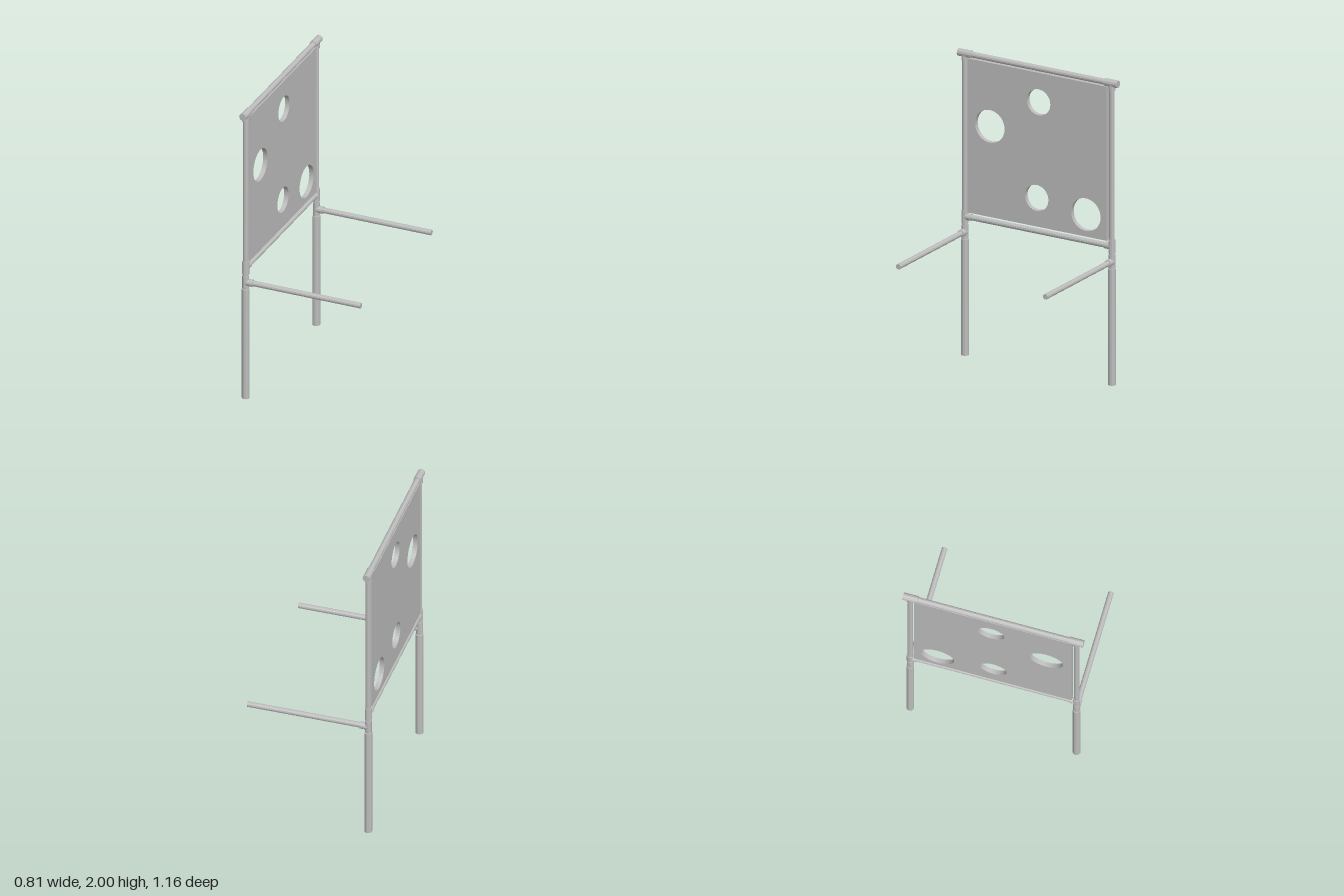
import * as THREE from 'three';

export function createModel() {
  const model = new THREE.Group();
  const grey = new THREE.MeshStandardMaterial({ color: 0xbcbcbc, flatShading: true });
  grey.name = 'grey';
  const X = -0.379, Z = 0.535;          // plane of the frame, half spacing of the posts
  const ARM_Y = 0.807, RAIL_Y = 0.907, TOP_Y = 1.976;

  // Straight faceted pipe between two points
  function pipe(name, a, b, radius) {
    const from = new THREE.Vector3(...a), to = new THREE.Vector3(...b);
    const dir = to.clone().sub(from);
    const mesh = new THREE.Mesh(new THREE.CylinderGeometry(radius, radius, dir.length(), 12), grey);
    mesh.position.copy(from).add(to).multiplyScalar(0.5);
    mesh.quaternion.setFromUnitVectors(new THREE.Vector3(0, 1, 0), dir.normalize());
    mesh.name = name;
    model.add(mesh);
  }

  for (const s of [1, -1]) {
    const z = s * Z;
    const upright = (name, y0, y1, r) => pipe(name, [X, y0, z], [X, y1, z], r);
    // Post: thick leg below, thin pipe above
    upright('leg', 0, 0.76, 0.025);
    upright('upperPost', 0.74, TOP_Y, 0.0175);
    // Tee that holds the arm
    upright('armTee', 0.765, 0.853, 0.022);
    pipe('armSocket', [X, ARM_Y, z], [-0.328, ARM_Y, z], 0.023);
    pipe('arm', [X, ARM_Y, z], [0.403, ARM_Y, z], 0.0175);
    // Tee that holds the lower rail
    upright('lowerTee', 0.863, 0.951, 0.0225);
    pipe('lowerTeeSocket', [X, RAIL_Y, z], [X, RAIL_Y, s * 0.487], 0.0215);
    // Tee at the top corner
    pipe('topTee', [X, TOP_Y, s * 0.485], [X, TOP_Y, s * 0.58], 0.024);
    upright('topTeeSocket', 1.93, TOP_Y, 0.0225);
  }

  // Rails across the frame
  pipe('lowerRail', [X, RAIL_Y, -Z], [X, RAIL_Y, Z], 0.0175);
  pipe('topRail', [X, TOP_Y, -Z], [X, TOP_Y, Z], 0.0185);

  // Target panel with four round holes: [z, y, radius]
  const w = 0.506, y0 = 0.941, y1 = 1.951, t = 0.03;
  const outline = new THREE.Shape();
  outline.moveTo(-w, y0).lineTo(w, y0).lineTo(w, y1).lineTo(-w, y1).closePath();
  for (const [z, y, r] of [[-0.011, 1.758, 0.085], [0.344, 1.535, 0.107], [0.003, 1.129, 0.085], [-0.355, 1.085, 0.107]]) {
    outline.holes.push(new THREE.Path().absarc(-z, y, r, 0, Math.PI * 2, true));
  }
  const panelGeometry = new THREE.ExtrudeGeometry(outline, { depth: t, bevelEnabled: false, curveSegments: 20 });
  panelGeometry.translate(0, 0, -t / 2).rotateY(Math.PI / 2);
  const panel = new THREE.Mesh(panelGeometry, grey);
  panel.position.x = X;
  panel.name = 'panel';
  model.add(panel);

  return model;
}
